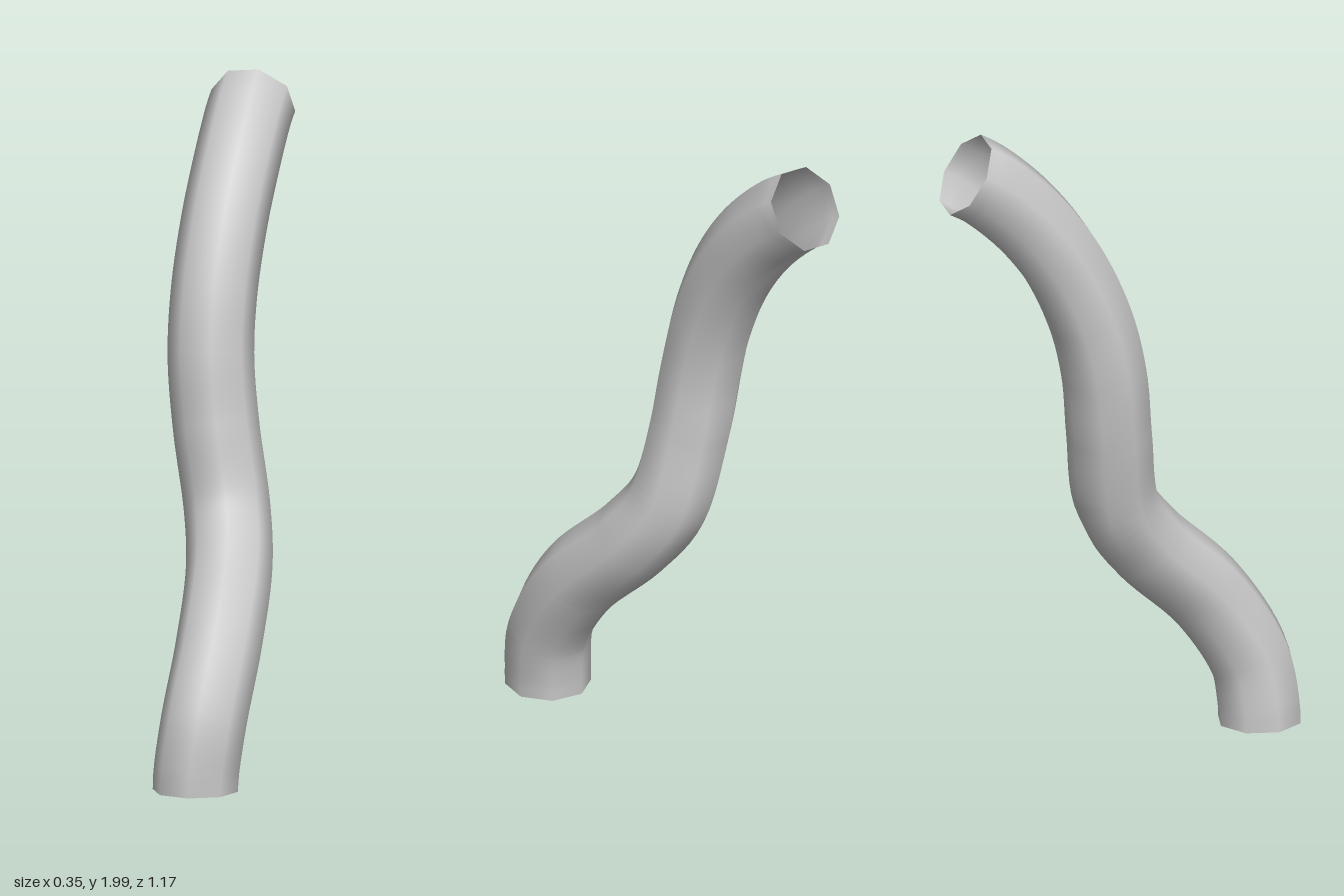
import * as THREE from 'three';

export function createModel() {
  const model = new THREE.Group();

  // Centre line: starts straight up, then bends back in an S with a slight sideways sway
  const path = new THREE.CatmullRomCurve3([
    [0, 0, 0.457],
    [0.002, 0.05, 0.456],
    [0.02, 0.2, 0.432],
    [0.043, 0.41, 0.305],
    [0.038, 0.61, 0.1],
    [0.012, 0.76, -0.01],
    [-0.03, 1.0, -0.058],
    [-0.05, 1.2, -0.085],
    [-0.049, 1.38, -0.13],
    [-0.035, 1.57, -0.215],
    [-0.018, 1.73, -0.33],
    [-0.005, 1.855, -0.465],
    [0, 1.888, -0.52],
  ].map((p) => new THREE.Vector3(...p)));

  // Open eight-sided hose with smooth normals
  const sides = 8;
  const geometry = new THREE.TubeGeometry(path, 64, 0.128, sides, false);

  // Level the bottom rim on the ground
  const position = geometry.attributes.position;
  for (let i = 0; i <= sides; i++) position.setY(i, 0);

  const hose = new THREE.Mesh(
    geometry,
    new THREE.MeshStandardMaterial({ color: 0xcccccc, side: THREE.DoubleSide })
  );
  hose.name = 'curvedTube';
  model.add(hose);
  return model;
}
